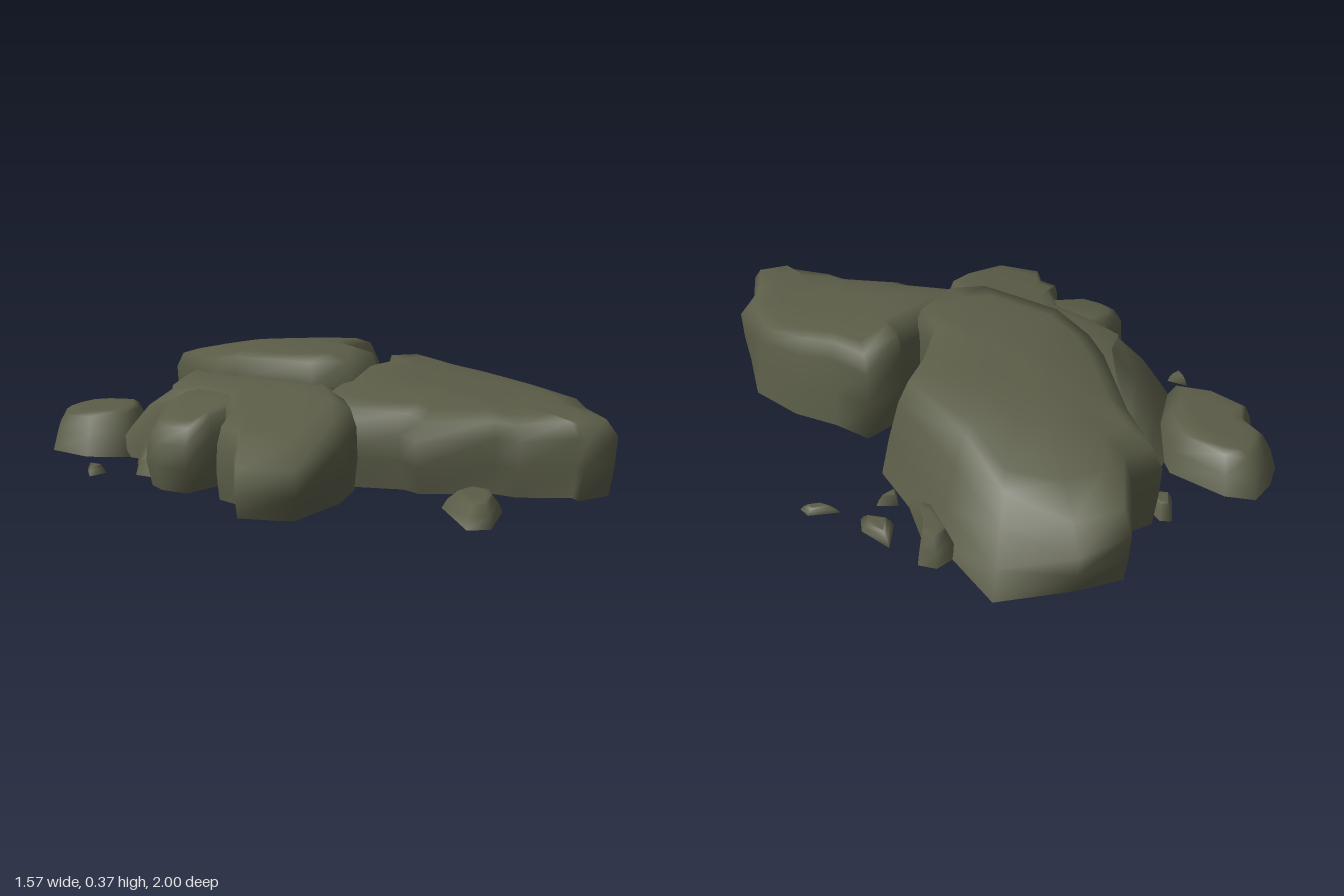
import * as THREE from 'three';

const rockMat = new THREE.MeshStandardMaterial({ color: 0x5b5d48, side: THREE.DoubleSide });
rockMat.name = 'mossy stone';

// Ground line tilts gently from back to front
const ground = (z) => 0.02 + 0.02 * z;

// Wall rings: [inset of a bulging side, inset of a flared side, share of the height]
const BULGE = [[0.45, 0, 0], [0.05, 0.35, 0.4], [0.2, 0.75, 0.75], [0.95, 1.2, 0.95]];
const STEEP = [[0.5, 0, 0], [0.15, 0.3, 0.4], [0, 0.7, 0.78], [0.9, 1.1, 0.97]];
const CHIP = [[0, 0, 0], [0.4, 0.4, 0.5], [1, 1, 0.9]];
const CAP = [0.8, 0.5, 0.25];

// True when a point lies well inside a boulder
function inside({ outline, center: [cx, cz], height }, [x, y, z]) {
  if (y > height(x, z) - 0.02) return false;
  const px = cx + (x - cx) / 0.94, pz = cz + (z - cz) / 0.94;
  let hit = false;
  outline.forEach(([x1, z1], i) => {
    const [x2, z2] = outline[(i + 1) % outline.length];
    if ((z1 > pz) !== (z2 > pz) && px < x1 + ((pz - z1) / (z2 - z1)) * (x2 - x1)) hit = !hit;
  });
  return hit;
}

// Open-bottomed boulder: outline points [x, z, lean, flared]; faces buried in others are left out
function boulder({ name, outline, center: [cx, cz], height, lean = 0.08, rings = BULGE }, others) {
  const area = outline.reduce((s, [x, z], i) => {
    const [u, v] = outline[(i + 1) % outline.length];
    return s + x * v - u * z;
  }, 0);
  const pts = area > 0 ? [...outline].reverse() : outline;
  const n = pts.length, verts = [], index = [];
  const add = (x, z, share) => {
    const g = ground(z);
    verts.push([x, g + (height(x, z) - g) * share, z]);
  };
  const ring = (scaleOf, share) => pts.forEach(([x, z, l = lean, flared]) => {
    const s = scaleOf(l, flared);
    add(cx + (x - cx) * s, cz + (z - cz) * s, share);
  });
  rings.forEach(([bulge, flare, share]) => ring((l, f) => 1 - l * (f ? flare : bulge), share));
  CAP.forEach((s) => ring((l) => s * (1 - l * 0.8), 1));
  add(cx, cz, 1);

  const face = (...tri) => {
    const p = tri.map((k) => verts[k]);
    const mid = [0, 1, 2].map((k) => (p[0][k] + p[1][k] + p[2][k]) / 3);
    if (!others.some((o) => [...p, mid].every((q) => inside(o, q)))) index.push(...tri);
  };
  const count = rings.length + CAP.length, tip = count * n;
  for (let i = 0; i < n; i++) {
    const j = (i + 1) % n;
    for (let r = 0; r < count - 1; r++) {
      const a = r * n + i, b = r * n + j;
      face(a, b, b + n);
      face(a, b + n, a + n);
    }
    face((count - 1) * n + i, (count - 1) * n + j, tip);
  }
  const geo = new THREE.BufferGeometry();
  geo.setAttribute('position', new THREE.Float32BufferAttribute(verts.flat(), 3));
  geo.setIndex(index);
  geo.computeVertexNormals();
  const mesh = new THREE.Mesh(geo, rockMat);
  mesh.name = name;
  return mesh;
}

// Tall ridge, sloping away on its right flank and towards the back
const mainRidge = {
  name: 'mainRidge', center: [0.14, -0.33], rings: STEEP,
  outline: [
    [0.12, 0.05], [0.05, 0.17], [-0.15, 0.2], [-0.23, 0.1, 0.05], [-0.23, -0.2, 0.03], [-0.18, -0.36, 0.03],
    [-0.11, -0.46, 0.03], [0.1, -0.69], [0.2, -0.84], [0.3, -0.8], [0.48, -0.91], [0.62, -0.84, 0.12],
    [0.76, -0.67, 0.26, true], [0.65, -0.4, 0.28, true], [0.48, -0.05, 0.18, true], [0.3, -0.04, 0.1],
  ],
  height: (x, z) => 0.37 - 0.1 * Math.max(0, x - 0.1) - 0.3 * Math.max(0, x - 0.4)
    - 0.11 * Math.max(0, -z - 0.2) - 0.1 * Math.max(0, -z - 0.3 - 0.8 * x),
};

// Broad left shoulder, sloping down to the back
const leftShoulder = {
  name: 'leftShoulder', center: [-0.28, -0.05],
  outline: [
    [-0.39, -0.6, 0.35, true], [-0.2, -0.67, 0.35, true], [0.05, -0.72, 0.2, true], [0.06, -0.3], [-0.1, 0.1],
    [-0.2, 0.2], [-0.35, 0.35], [-0.5, 0.41, 0.15], [-0.73, 0.41, 0.18], [-0.79, 0.25, 0.18],
    [-0.67, 0.15, 0.15], [-0.65, 0.07, 0.12], [-0.57, 0.04], [-0.42, -0.1], [-0.39, -0.3],
  ],
  height: (x, z) => 0.295 + 0.15 * Math.min(0, x + 0.25) - 0.12 * Math.max(0, -z - 0.2),
};

// Rounded lump on the left
const leftOutcrop = {
  name: 'leftOutcrop', center: [-0.45, -0.14], lean: 0.22,
  outline: [[-0.65, -0.05], [-0.66, -0.15], [-0.63, -0.22], [-0.53, -0.28], [-0.4, -0.3], [-0.28, -0.25],
    [-0.28, -0.05], [-0.4, 0.02], [-0.55, -0.03]],
  height: (x) => 0.27 + 0.25 * Math.min(0, x + 0.4),
};

// Separate front boulder
const frontBoulder = {
  name: 'frontBoulder', center: [0.06, 0.47], rings: STEEP,
  outline: [
    [-0.38, 0.2, 0.15], [-0.27, 0.16], [0, 0.13], [0.17, 0.14], [0.21, 0.09], [0.37, 0.1],
    [0.36, 0.25, 0.12, true], [0.39, 0.4, 0.15, true], [0.37, 0.6, 0.14, true], [0.23, 0.81, 0.12], [0.1, 0.88],
    [-0.02, 1], [-0.12, 0.95], [-0.1, 0.92], [-0.18, 0.78], [-0.18, 0.7], [-0.31, 0.52, 0.15], [-0.29, 0.45, 0.15],
  ],
  height: (x, z) => Math.max(0.265, 0.335 - 0.13 * (z - 0.15))
    - 0.25 * Math.max(0, -x - 0.1) - 0.1 * Math.max(0, x - 0.2),
};

// Low slab at the back
const backSlab = {
  name: 'backSlab', center: [-0.25, -0.78], lean: 0.25, rings: CHIP,
  outline: [[-0.2, -1], [-0.1, -1], [-0.06, -0.92], [-0.07, -0.73], [-0.2, -0.6], [-0.39, -0.52], [-0.46, -0.65],
    [-0.45, -0.82], [-0.34, -0.87], [-0.3, -0.97]],
  height: (x, z) => 0.13 + 0.1 * (z + 0.8),
};

export function createModel() {
  const group = new THREE.Group();
  group.name = 'rockFormation';
  const boulders = [mainRidge, leftShoulder, leftOutcrop, frontBoulder, backSlab];
  for (const spec of boulders) group.add(boulder(spec, boulders.filter((o) => o !== spec)));

  // Loose stones and chips
  const chip = (name, h, ...outline) => {
    const mean = (k) => outline.reduce((s, p) => s + p[k], 0) / outline.length;
    const spec = { name, outline, center: [mean(0), mean(1)], height: () => h, lean: 0.4, rings: CHIP };
    group.add(boulder(spec, boulders));
  };
  chip('frontStone', 0.09, [-0.52, 0.8], [-0.48, 0.85], [-0.32, 0.8], [-0.26, 0.75], [-0.26, 0.66], [-0.37, 0.64]);
  chip('rightStone', 0.085, [0.66, -0.48], [0.74, -0.47], [0.76, -0.42], [0.66, -0.35], [0.56, -0.22], [0.55, -0.3]);
  chip('leftStone', 0.1, [-0.55, -0.34], [-0.43, -0.35], [-0.44, -0.44], [-0.39, -0.43], [-0.36, -0.25], [-0.54, -0.22]);
  chip('rightChip', 0.05, [0.66, -0.25], [0.75, -0.31], [0.74, -0.2], [0.7, -0.16]);
  chip('rightChip', 0.04, [0.71, -0.09], [0.78, -0.03], [0.77, 0.01], [0.72, -0.03]);
  chip('rightChip', 0.05, [0.54, -0.16], [0.58, -0.2], [0.62, -0.15]);
  chip('leftChip', 0.04, [-0.64, -0.45], [-0.59, -0.51], [-0.58, -0.44]);
  chip('backChip', 0.05, [0.06, -0.81], [0.15, -0.86], [0.17, -0.83], [0.11, -0.72]);
  return group;
}
